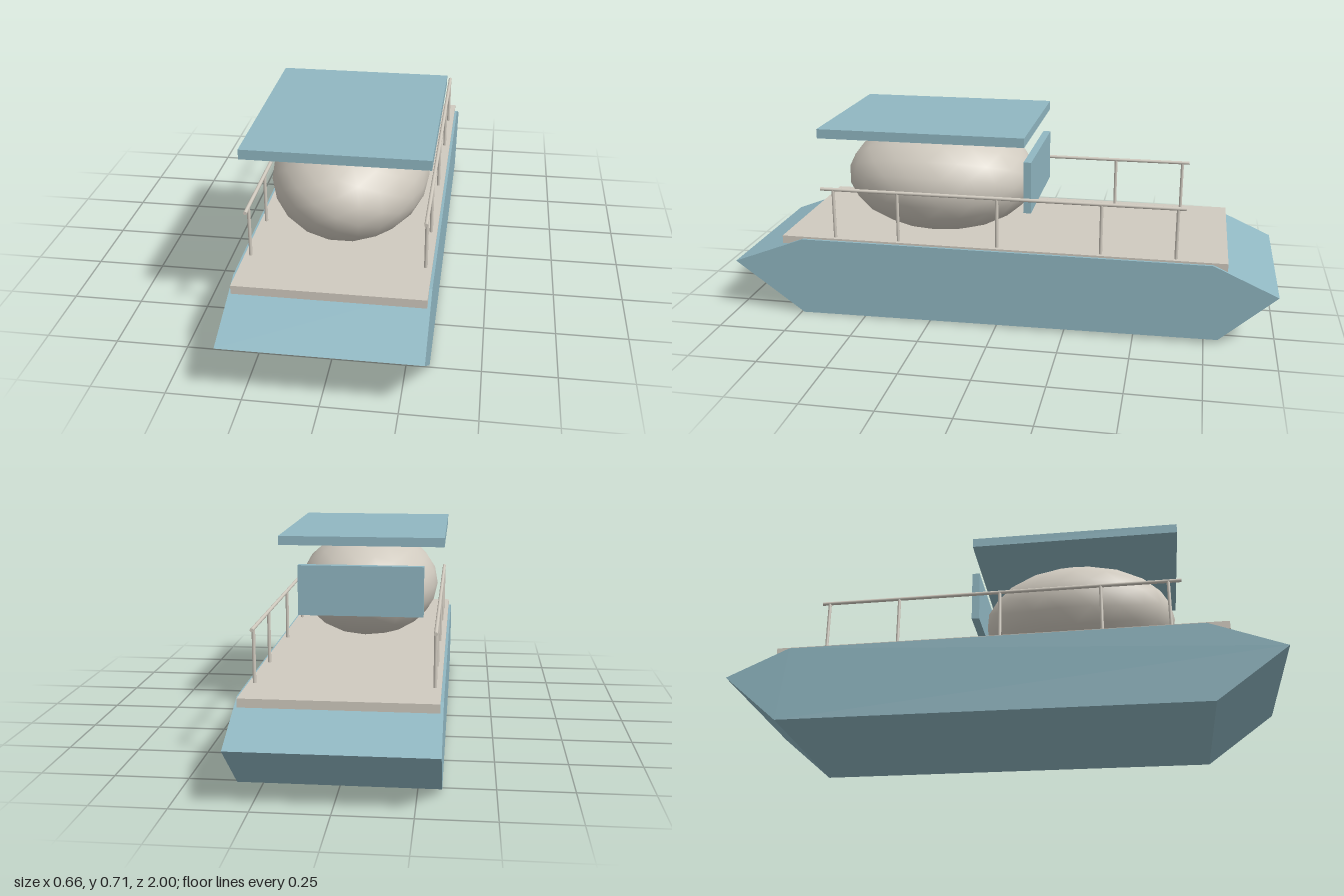
import * as THREE from 'three';

export function createModel() {
  const model = new THREE.Group();
  model.name = 'boat';

  const blue = new THREE.MeshStandardMaterial({ color: 0x90b7c2 });
  blue.name = 'dusty blue';
  const stone = new THREE.MeshStandardMaterial({ color: 0xd0cabf });
  stone.name = 'warm stone';

  const add = (name, geometry, material, x = 0, y = 0, z = 0) => {
    const mesh = new THREE.Mesh(geometry, material);
    mesh.name = name;
    mesh.position.set(x, y, z);
    model.add(mesh);
    return mesh;
  };

  // Hull: side profile (z, y) extruded across the beam
  const profile = [[1, 0.19], [0.73, 0.293], [-0.77, 0.293], [-1, 0.19], [-0.8, 0.015], [0.74, 0]];
  const beam = 0.656;
  const hull = new THREE.ExtrudeGeometry(
    new THREE.Shape(profile.map(([z, y]) => new THREE.Vector2(z, y))),
    { depth: beam, bevelEnabled: false }
  );
  hull.translate(0, 0, -beam / 2).rotateY(-Math.PI / 2);
  add('hull', hull, blue);

  // Deck slab
  add('deck', new THREE.BoxGeometry(0.636, 0.03, 1.63), stone, 0, 0.285, -0.005);

  // Faceted ellipsoid cabin, sunk a little into deck and roof
  const cabin = new THREE.IcosahedronGeometry(1, 3); // flat normals by default
  cabin.scale(0.278, 0.21, 0.365);
  add('cabin', cabin, stone, 0, 0.478, 0.272);

  // Roof and rear panel
  add('roof', new THREE.BoxGeometry(0.62, 0.034, 0.756), blue, 0, 0.695, 0.277);
  add('rearPanel', new THREE.BoxGeometry(0.472, 0.19, 0.028), blue, 0, 0.51, -0.1);

  // Railings on both sides
  const railGeometry = new THREE.CylinderGeometry(0.0065, 0.0065, 1.325, 12).rotateX(Math.PI / 2);
  const postGeometry = new THREE.CylinderGeometry(0.006, 0.006, 0.185, 12);
  for (const [side, x] of [['left', 0.297], ['right', -0.297]]) {
    add(side + 'Rail', railGeometry, stone, x, 0.484, -0.005);
    for (const z of [0.61, 0.368, 0, -0.375, -0.64]) {
      add(side + 'RailPost', postGeometry, stone, x, 0.39, z);
    }
  }

  return model;
}
